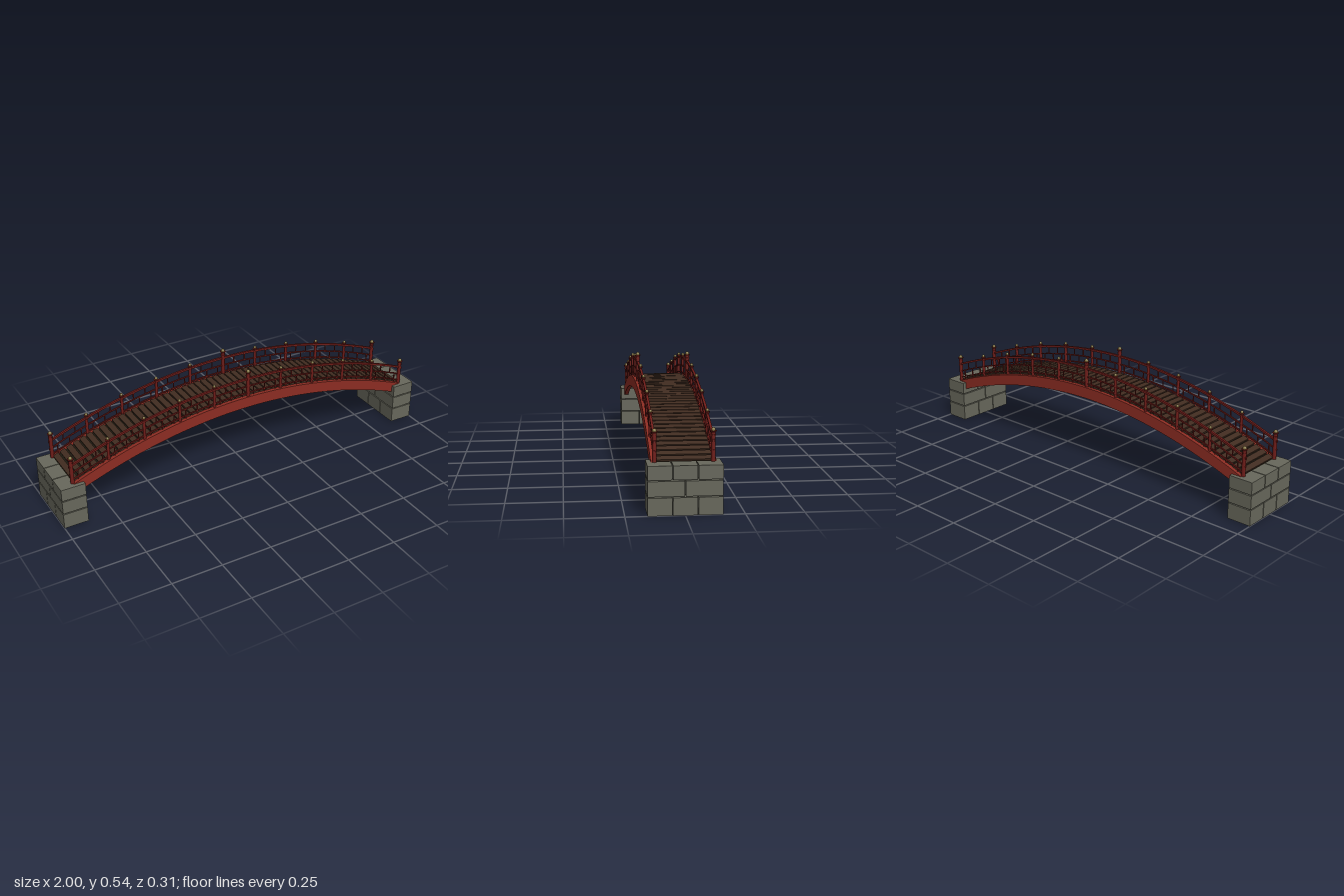
import * as THREE from 'three';

const mat = (name, color) => {
  const m = new THREE.MeshStandardMaterial({ color });
  m.name = name;
  return m;
};

// Height of the arched walkway at x
const END = 0.93;
const arch = (x) => 0.40 - 0.19 * (x / END) ** 2;

// Curved band that follows the arch between two height offsets
function band(half, low, high, depth) {
  const n = 48, pts = [];
  for (let i = 0; i <= n; i++) {
    const x = -half + (2 * half * i) / n;
    pts.push(new THREE.Vector2(x, arch(x) + low));
  }
  for (let i = n; i >= 0; i--) {
    const x = -half + (2 * half * i) / n;
    pts.push(new THREE.Vector2(x, arch(x) + high));
  }
  const g = new THREE.ExtrudeGeometry(new THREE.Shape(pts), { depth, bevelEnabled: false });
  return g.translate(0, 0, -depth / 2);
}

export function createModel() {
  const stone = mat('stone', 0x67675b);
  const beamRed = mat('beam red', 0x8c2c22);
  const railRed = mat('rail red', 0x6e1c18);
  const plankWood = mat('plank wood', 0x412c20);
  const darkWood = mat('dark wood', 0x1e1a10);
  const brass = mat('brass', 0x80703c);

  const model = new THREE.Group();
  model.name = 'archedBridge';
  const add = (parent, name, geo, material, x = 0, y = 0, z = 0) => {
    const m = new THREE.Mesh(geo, material);
    m.name = name;
    m.position.set(x, y, z);
    parent.add(m);
    return m;
  };

  // Stone abutments: three courses of separate blocks with open joints
  const gap = 0.004, depth = 0.314;
  const courses = [[0, 0.076, 3], [0.081, 0.146, 2], [0.151, 0.211, 3]];
  for (const side of [-1, 1]) {
    const abutment = new THREE.Group();
    abutment.name = side > 0 ? 'leftAbutment' : 'rightAbutment';
    model.add(abutment);
    for (const [y0, y1, count] of courses) {
      const w = (depth - gap * (count - 1)) / count;
      const geo = new THREE.BoxGeometry(0.12, y1 - y0, w);
      for (let i = 0; i < count; i++) {
        add(abutment, 'stoneBlock', geo, stone, side * 0.94, (y0 + y1) / 2,
          -depth / 2 + w / 2 + i * (w + gap));
      }
    }
  }

  // Deck: planks laid across a dark lining
  const deck = new THREE.Group();
  deck.name = 'deck';
  model.add(deck);
  add(deck, 'deckLining', band(END, -0.008, 0, 0.236), darkWood);
  const planks = 54, pitch = (2 * END) / planks;
  const plankGeo = new THREE.BoxGeometry(pitch - 0.006, 0.009, 0.238);
  for (let i = 0; i < planks; i++) {
    const x = -END + (i + 0.5) * pitch;
    const plank = add(deck, 'plank', plankGeo, plankWood, x, arch(x) + 0.0045, 0);
    plank.rotation.z = Math.atan(-0.38 * x / END ** 2);
  }

  // Shared geometry for both sides
  const beamGeo = band(END, -0.055, 0.001, 0.021);
  const rails = [
    ['topRail', band(END + 0.012, 0.089, 0.099, 0.011)],
    ['middleRail', band(END + 0.012, 0.05, 0.056, 0.007)],
    ['bottomRail', band(END, 0.014, 0.02, 0.007)],
  ];
  const bays = 10, bay = (2 * END) / bays;

  for (const side of [-1, 1]) {
    const z = side * 0.123;
    const railing = new THREE.Group();
    railing.name = side > 0 ? 'frontRailing' : 'backRailing';
    model.add(railing);
    add(model, side > 0 ? 'frontBeam' : 'backBeam', beamGeo, beamRed, 0, 0, side * 0.127);
    for (const [name, geo] of rails) add(railing, name, geo, railRed, 0, 0, z);

    // Posts with flared caps and ball finials; end and centre posts are taller
    for (let i = 0; i <= bays; i++) {
      const x = -END + i * bay;
      const big = i === 0 || i === bays || i === bays / 2;
      const h = big ? 0.144 : 0.12, r = big ? 0.0095 : 0.0075;
      const post = new THREE.Group();
      post.name = 'post';
      post.position.set(x, arch(x), z);
      railing.add(post);
      const body = h - 0.02;
      add(post, 'postShaft', new THREE.CylinderGeometry(r, r, body + 0.006, 12),
        railRed, 0, body / 2 - 0.003, 0);
      add(post, 'postCap', new THREE.CylinderGeometry(r * 1.55, r, 0.009, 12),
        railRed, 0, body + 0.002, 0);
      add(post, 'postCollar', new THREE.CylinderGeometry(r * 1.2, r * 1.2, 0.004, 12),
        railRed, 0, body - 0.012, 0);
      add(post, 'finial', new THREE.SphereGeometry(r, 12, 8), brass, 0, h - r, 0);
    }

    // Staggered lattice bars between the rails
    const bar = (x, low, high) => add(railing, 'latticeBar',
      new THREE.BoxGeometry(0.0045, high - low, 0.0045), railRed, x, arch(x) + (low + high) / 2, z);
    for (let i = 0; i < bays; i++) {
      const x0 = -END + i * bay;
      for (const t of [1 / 3, 2 / 3]) bar(x0 + t * bay, 0.053, 0.092);
      for (const t of [1 / 6, 1 / 2, 5 / 6]) bar(x0 + t * bay, 0.002, 0.053);
    }
  }
  return model;
}
